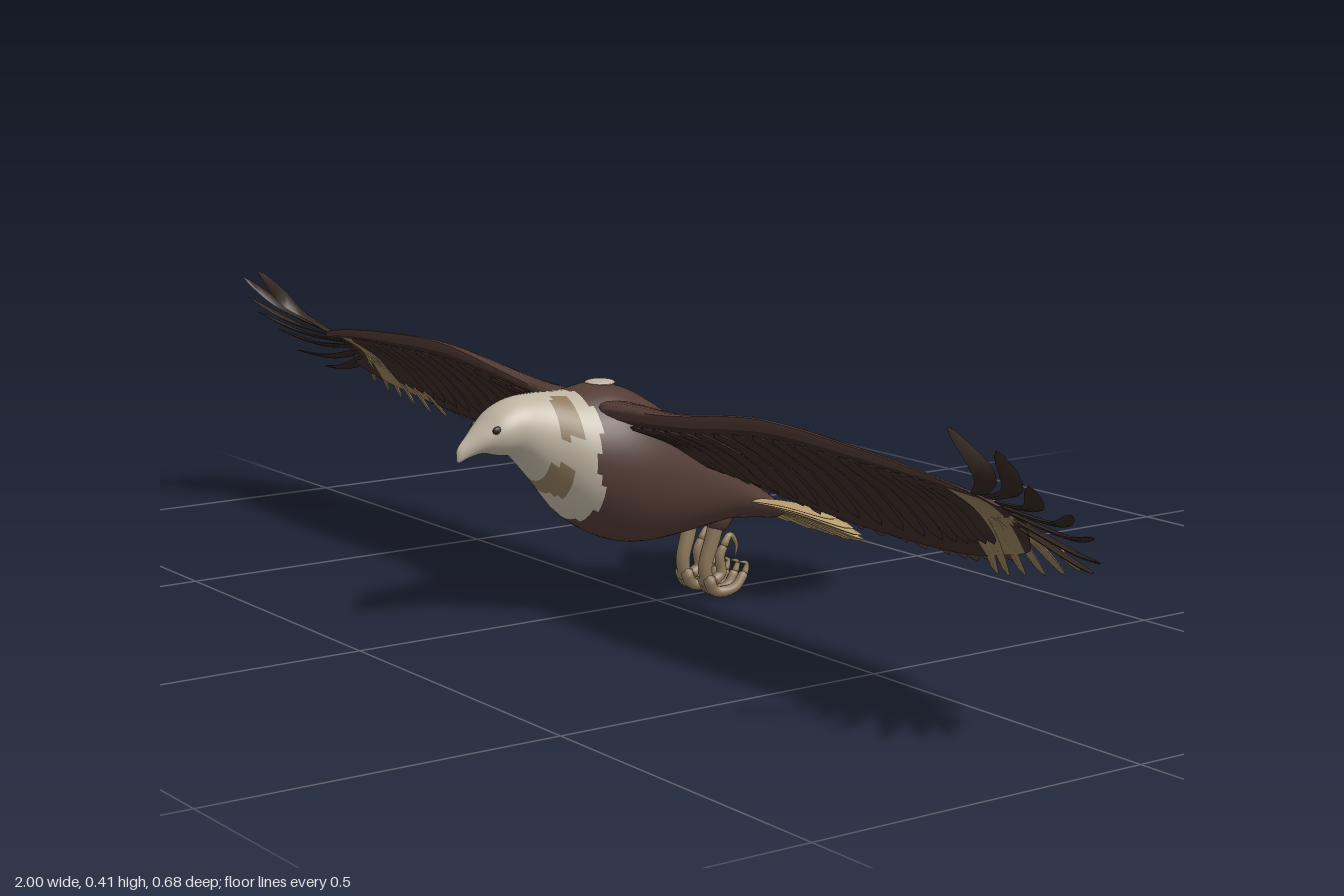
import * as THREE from 'three';
import { toCreasedNormals } from 'three/addons/utils/BufferGeometryUtils.js';

const V = (x, y, z) => new THREE.Vector3(x, y, z);
const mat = (name, color) => Object.assign(new THREE.MeshStandardMaterial({ color }), { name });

// Skin of rings: point(u, a) gives a position, pick(centre, a, u) a material index
function skin(name, nu, nv, point, materials, pick = () => 0, crease = 0) {
  const pos = [], lists = materials.map(() => []), pts = [];
  for (let i = 0; i <= nu; i++) for (let j = 0; j < nv; j++) {
    const p = point(i / nu, (j / nv) * Math.PI * 2);
    pts.push(p);
    pos.push(p.x, p.y, p.z);
  }
  const mid = pts.reduce((s, p) => s.add(p), V(0, 0, 0)).divideScalar(pts.length);
  const tris = [];
  let volume = 0;
  for (let i = 0; i < nu; i++) for (let j = 0; j < nv; j++) {
    const k = (j + 1) % nv;
    const a = i * nv + j, b = i * nv + k, c = a + nv, d = b + nv;
    const centre = pts[a].clone().add(pts[b]).add(pts[c]).add(pts[d]).multiplyScalar(0.25);
    const m = pick(centre, ((j + 0.5) / nv) * Math.PI * 2, (i + 0.5) / nu);
    for (const t of [[a, b, d], [a, d, c]]) {
      const [p, q, r] = t.map((n) => pts[n].clone().sub(mid));
      volume += p.dot(q.cross(r));
      tris.push([m, t]);
    }
  }
  // Turn every face outward
  for (const [m, t] of tris) lists[m].push(...(volume < 0 ? [t[0], t[2], t[1]] : t));
  let geo = new THREE.BufferGeometry();
  geo.setAttribute('position', new THREE.Float32BufferAttribute(pos, 3));
  geo.setIndex(lists.flat());
  let start = 0;
  lists.forEach((l, m) => { geo.addGroup(start, l.length, m); start += l.length; });
  geo.computeVertexNormals();
  if (crease) geo = toCreasedNormals(geo, crease);
  const mesh = new THREE.Mesh(geo, materials.length > 1 ? materials : materials[0]);
  mesh.name = name;
  return mesh;
}

// Tapered blade or limb along a curve; wide is its width direction
function blade(name, points, half, thick, wide, profile, material, sides = 6) {
  const curve = new THREE.CatmullRomCurve3(points);
  return skin(name, 14, sides, (u, a) => {
    const p = curve.getPoint(u), t = curve.getTangent(u);
    const n = t.clone().cross(wide).normalize(), w = n.clone().cross(t).normalize();
    const s = u === 0 || u === 1 ? 0 : profile(u);
    return p.addScaledVector(w, Math.cos(a) * half * s).addScaledVector(n, Math.sin(a) * thick * s);
  }, [material], undefined, sides === 6 ? 0.7 : 0);
}

const quill = (u) => (0.75 + 0.25 * Math.sin(u * 3)) * Math.sqrt(1 - u ** 3);
const fan = (u) => (0.35 + 0.65 * u) * Math.sqrt(1 - u ** 8);
const limb = (u) => 1 - 0.25 * u;
const claw = (u) => 1 - 0.9 * u;

export function createModel() {
  const brown = mat('plumage brown', 0x523b34);
  const dark = mat('underwing brown', 0x3a2a25);
  const black = mat('flight feather dark', 0x31251e);
  const cream = mat('head cream', 0xbdb3a1);
  const tan = mat('tail tan', 0xb59a6c);
  const dull = mat('wing tan', 0x8f7a57);
  const legTan = mat('leg tan', 0x8c775b);
  const eyeDark = mat('eye dark', 0x2a211b);
  const model = new THREE.Group();
  model.name = 'eagle';

  // Body: z, top, bottom, half width
  const sections = [
    [0.341, 0.256, 0.247, 0.001], [0.337, 0.266, 0.243, 0.006], [0.322, 0.28, 0.249, 0.014],
    [0.302, 0.297, 0.253, 0.027], [0.28, 0.315, 0.248, 0.038], [0.25, 0.327, 0.24, 0.044],
    [0.21, 0.33, 0.198, 0.056], [0.16, 0.329, 0.142, 0.083], [0.1, 0.335, 0.107, 0.1],
    [0.04, 0.312, 0.095, 0.102], [-0.03, 0.262, 0.1, 0.094], [-0.1, 0.207, 0.11, 0.083],
    [-0.15, 0.167, 0.108, 0.076], [-0.19, 0.137, 0.103, 0.058], [-0.215, 0.116, 0.106, 0.004],
  ];
  const outline = new THREE.CatmullRomCurve3(sections.map((s) => V(s[0], s[1], s[2])), false, 'catmullrom');
  const girth = new THREE.CatmullRomCurve3(sections.map((s) => V(s[3], 0, 0)), false, 'catmullrom');
  model.add(skin('body', 112, 40, (u, a) => {
    const o = outline.getPoint(u), w = Math.max(girth.getPoint(u).x, 0.001);
    return V(w * Math.cos(a), (o.y + o.z) / 2 + ((o.y - o.z) / 2) * Math.sin(a), o.x);
  }, [brown, cream, legTan], (p) => {
    if (p.z < 0.152 + 0.006 * Math.sin(p.y * 60)) return 0;
    const upper = Math.abs(p.z - 0.19) < 0.016 && p.y > 0.272 && p.y < 0.324;
    const lower = Math.abs(p.z - 0.2) < 0.014 && p.y > 0.185 && p.y < 0.232;
    return upper || lower ? 2 : 1;
  }));

  const ball = (name, p, s, m) => {
    const mesh = new THREE.Mesh(new THREE.SphereGeometry(1, 20, 14), m);
    mesh.name = name;
    mesh.position.copy(p);
    mesh.scale.copy(s);
    model.add(mesh);
    return mesh;
  };
  ball('backSpot', V(0, 0.334, 0.1), V(0.022, 0.005, 0.022), cream);

  // Wing: x, leading z and y, trailing z and y, thickness
  const ribs = [
    [0, 0.14, 0.305, -0.05, 0.225, 0.05], [0.09, 0.138, 0.312, -0.05, 0.205, 0.045],
    [0.2, 0.12, 0.316, -0.05, 0.192, 0.036], [0.4, 0.124, 0.342, -0.05, 0.178, 0.03],
    [0.6, 0.118, 0.334, -0.048, 0.178, 0.022], [0.72, 0.112, 0.322, -0.02, 0.2, 0.014],
    [0.8, 0.1, 0.308, 0.005, 0.222, 0.008], [0.83, 0.085, 0.295, 0.03, 0.245, 0.003],
  ];
  const lead = new THREE.CatmullRomCurve3(ribs.map((r) => V(r[0], r[2], r[1])), false, 'catmullrom');
  const trail = new THREE.CatmullRomCurve3(ribs.map((r) => V(r[0], r[4], r[3])), false, 'catmullrom');
  const depth = new THREE.CatmullRomCurve3(ribs.map((r) => V(r[5], 0, 0)), false, 'catmullrom');
  // Point at span u, chord f, lifted by a share of the thickness
  const onWing = (u, f, lift) => {
    const L = lead.getPoint(u), T = trail.getPoint(u), d = T.clone().sub(L);
    const n = V(0, -d.z, d.y).normalize();
    const h = 0.016 * Math.sin(Math.PI * f) + depth.getPoint(u).x * lift * (1 - 0.75 * f);
    return L.lerp(T, f).addScaledVector(n, h);
  };

  for (const s of [1, -1]) {
    const side = s > 0 ? 'left' : 'right';
    const M = (p) => V(p.x * s, p.y, p.z);
    const wing = new THREE.Group();
    wing.name = side + 'Wing';
    model.add(wing);

    wing.add(skin('wingSurface', 84, 28, (u, a) =>
      M(onWing(u, (1 - Math.cos(a)) / 2, Math.sin(a) / 2)),
    [brown, dark, dull], (p, a) => {
      const f = (1 - Math.cos(a)) / 2, x = Math.abs(p.x), top = a < Math.PI;
      const edge = 0.655 + 0.02 * Math.sin(f * 14) + (f < 0.25 ? 0.04 : 0);
      if (top) return x > edge && f > 0.08 ? 2 : 0;
      return x > 0.69 && x < 0.79 && f > 0.15 ? 2 : f < 0.1 ? 0 : 1;
    }, 1.1));

    // Trailing feathers, with a darker row beneath
    for (let i = 0; i < 19; i++) {
      const u = 0.165 + i * 0.0305, du = 0.012;
      const tip = onWing(u + du, 1, 0).add(V(0, -0.012, -0.02 + 0.003 * Math.sin(i * 2.4)));
      wing.add(blade('secondaryFeather', [onWing(u, 0.5, 0.3), onWing(u + du / 2, 0.8, 0.3), tip].map(M),
        0.02, 0.004, V(1, 0, 0), (v) => Math.sqrt(1 - v ** 7), brown));
      wing.add(blade('underwingCovert', [onWing(u, 0.12, -0.5), onWing(u + du / 2, 0.5, -0.7), onWing(u + du, 0.88, -0.9)].map(M),
        0.018, 0.004, V(1, 0, 0), (v) => Math.sqrt(1 - v ** 7), dark));
    }

    // Spread fingers at the wing tip, from leading to trailing
    const tips = [
      [0.86, 0.41, 0.195], [0.935, 0.392, 0.185], [0.965, 0.352, 0.16], [1, 0.32, 0.125],
      [1, 0.288, 0.088], [0.985, 0.25, 0.06], [0.94, 0.225, 0.03],
    ];
    tips.forEach((t, i) => {
      const f = 0.08 + i * 0.1, base = onWing(0.86, f, 0), tip = V(...t);
      const mid = base.clone().lerp(tip, 0.5).add(V(0.025, -0.014, -0.012));
      wing.add(blade('primaryFeather', [base, mid, tip].map(M), 0.014, 0.003,
        V(0, 0.35, 1), quill, black));
    });
    // Tan outer feathers of the trailing edge
    [[0.865, 0.205, -0.025], [0.83, 0.192, -0.032], [0.79, 0.184, -0.034], [0.75, 0.177, -0.036],
      [0.71, 0.168, -0.044], [0.675, 0.162, -0.056]].forEach((t, i) => {
      const base = onWing(0.83 - i * 0.024, 0.55, 0.2), tip = V(...t);
      const mid = base.clone().lerp(tip, 0.5).add(V(0, 0.006, 0));
      wing.add(blade('outerFeather', [base, mid, tip].map(M), 0.021, 0.004,
        V(1, 0.3, 0.6), (v) => Math.sqrt(1 - v ** 5), dull));
    });

    // Eye
    ball(side + 'Eye', V(s * 0.029, 0.288, 0.291), V(0.004, 0.006, 0.008), eyeDark);

    // Leg with curled toes
    const leg = new THREE.Group();
    leg.name = side + 'Leg';
    model.add(leg);
    const thigh = ball(side + 'Thigh', V(s * 0.032, 0.128, -0.088), V(0.02, 0.032, 0.024), brown);
    leg.add(thigh);
    const part = (name, pts, r, profile, m) => leg.add(blade(name, pts.map((p) => M(V(...p))),
      r, r, V(1, 0, 0), profile, m, 10));
    part('shank', [[0.032, 0.13, -0.09], [0.03, 0.085, -0.078], [0.028, 0.045, -0.067], [0.028, 0.012, -0.074]],
      0.013, limb, legTan);
    for (const k of [-1, 0, 1]) {
      const x = 0.028 + k * 0.008, x2 = 0.028 + k * 0.017;
      part('toe', [[x, 0.035, -0.066], [x, 0.009, -0.08], [x2, 0.012, -0.108], [x2, 0.036, -0.124 - 0.005 * k]],
        0.0095, limb, legTan);
      part('talon', [[x2, 0.03, -0.122 - 0.005 * k], [x2, 0.046, -0.126 - 0.004 * k], [x2, 0.05, -0.112]],
        0.006, claw, dull);
    }
    part('hindToe', [[0.028, 0.02, -0.078], [0.028, 0.032, -0.096], [0.028, 0.058, -0.094], [0.028, 0.075, -0.102]],
      0.009, limb, legTan);
    part('hindTalon', [[0.028, 0.07, -0.099], [0.028, 0.088, -0.112], [0.028, 0.074, -0.124], [0.028, 0.05, -0.122]],
      0.007, claw, dull);
  }

  // Fanned tail
  const tail = new THREE.Group();
  tail.name = 'tail';
  model.add(tail);
  for (let i = -6; i <= 6; i++) {
    const th = (i / 6) * 1.3, layer = 0.003 * (6 - Math.abs(i)) / 6;
    const z = -0.14 - 0.2 * Math.cos(th);
    const tip = V(0.192 * Math.sin(th), 0.048 + (z + 0.34) * 0.56 + layer, z);
    const base = V(0.05 * Math.sin(th), 0.148 + layer, -0.105);
    const mid = base.clone().lerp(tip, 0.5).add(V(0, 0.006, 0));
    const dir = tip.clone().sub(base);
    tail.add(blade('tailFeather', [base, mid, tip], 0.026, 0.005,
      V(-dir.z, 0, dir.x).normalize(), fan, tan));
  }
  return model;
}
